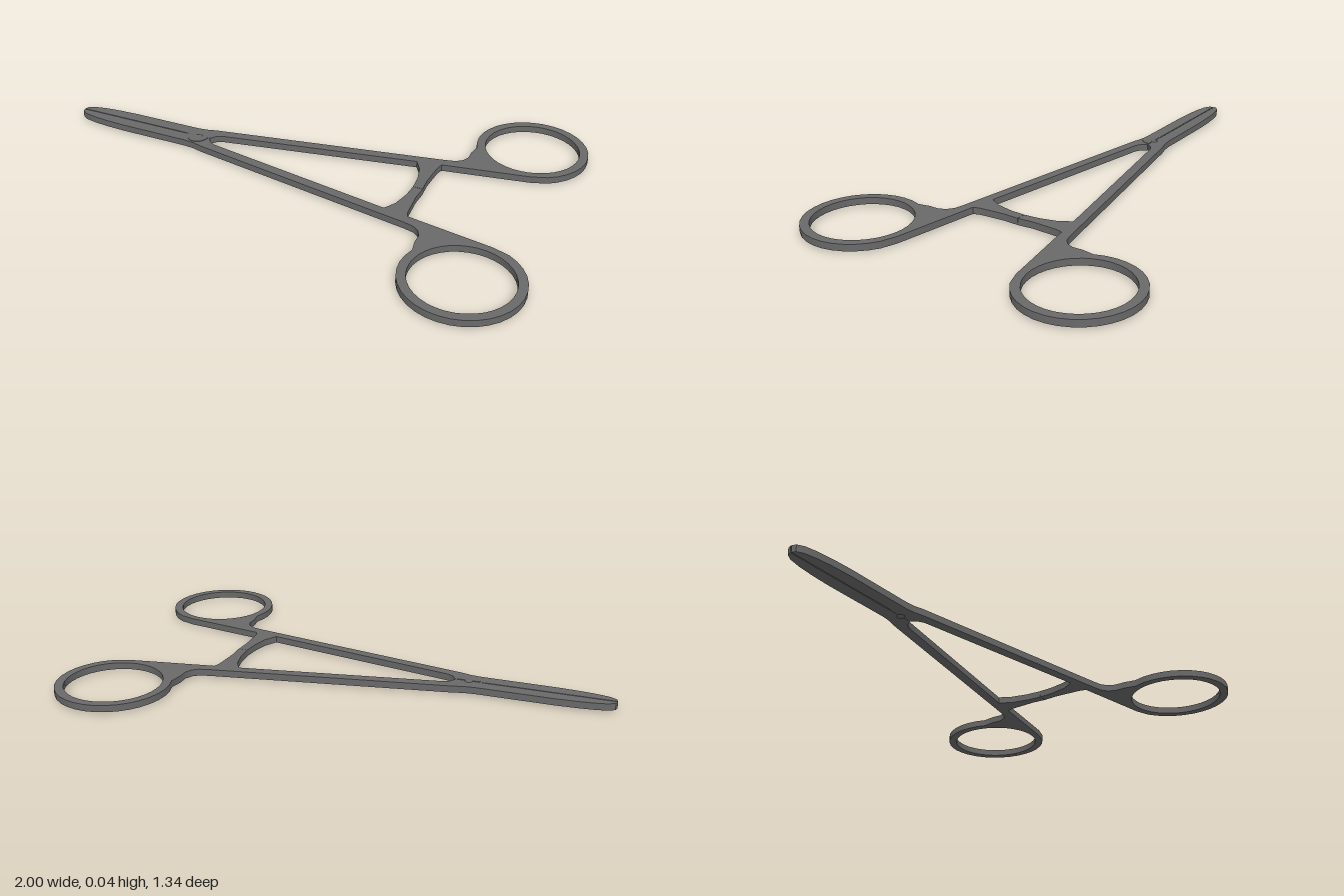
import * as THREE from 'three';
import { toCreasedNormals } from 'three/addons/utils/BufferGeometryUtils.js';

const BOTTOM = 0.007, THICK = 0.026;
const RING = { x: 0.783, z: 0.457, outer: 0.215, inner: 0.182 };
const PIVOT_X = -0.455;

// Points along a ring arc, angles in degrees
function arc(radius, from, to, steps) {
  return Array.from({ length: steps + 1 }, (_, i) => {
    const a = THREE.MathUtils.degToRad(from + (to - from) * i / steps);
    return [RING.x + radius * Math.cos(a), RING.z + radius * Math.sin(a)];
  });
}

// Jaw, shank, finger ring and half of the ratchet bridge as one outline
const outline = [
  // jaw
  [-1, 0.002], [-0.995, 0.018], [-0.97, 0.032], [-0.92, 0.042], [-0.86, 0.048], [-0.78, 0.052], [-0.49, 0.053],
  // outer side of the shank and neck
  [-0.45, 0.057], [-0.41, 0.068], [0.5, 0.233], [0.54, 0.243], [0.562, 0.26], [0.576, 0.288], [0.575, 0.33],
  // finger ring
  ...arc(RING.outer, 202, -60, 24),
  // inner side of the neck
  [0.83, 0.25], [0.5, 0.193],
  // ratchet bridge
  [0.492, 0.165], [0.486, 0.06], [0.49, 0.0005], [0.452, 0.0005], [0.448, 0.06], [0.432, 0.13], [0.405, 0.177],
  // inner side of the shank and crotch
  [-0.365, 0.036], [-0.388, 0.024], [-0.405, 0.0005], [-0.5, 0.0005], [-0.52, 0.002],
];
const ringHole = arc(RING.inner, 0, 350, 35);

// Extrude a plan outline upwards; side +1 lies towards the front
function plate(points, side, height, holes = []) {
  const toVectors = list => list.map(([x, z]) => new THREE.Vector2(x, -z * side));
  const shape = new THREE.Shape(toVectors(points));
  holes.forEach(h => shape.holes.push(new THREE.Path(toVectors(h))));
  const geometry = new THREE.ExtrudeGeometry(shape, { depth: height, bevelEnabled: false });
  geometry.rotateX(-Math.PI / 2);
  return toCreasedNormals(geometry, 0.5);
}

export function createModel() {
  const group = new THREE.Group();
  group.name = 'lockingForceps';
  const steel = new THREE.MeshStandardMaterial({ color: 0x696969 });
  steel.name = 'steel grey';

  function add(name, geometry, y = 0) {
    const mesh = new THREE.Mesh(geometry, steel);
    mesh.name = name;
    mesh.position.y = y;
    group.add(mesh);
    return mesh;
  }

  // Mirrored arms
  add('frontArm', plate(outline, 1, THICK, [ringHole]), BOTTOM);
  add('backArm', plate(outline, -1, THICK, [ringHole]), BOTTOM);

  // Half-round lap plate of the hinge
  const lap = Array.from({ length: 13 }, (_, i) => {
    const a = Math.PI * i / 12;
    return [PIVOT_X + 0.042 * Math.cos(a), 0.048 * Math.sin(a)];
  });
  add('hingePlate', plate(lap, 1, 0.002), BOTTOM + THICK);

  // Domed pivot pin through both arms
  const pin = [[0, 0], [0.009, 0.001], [0.015, 0.006], [0.016, 0.01], [0.016, 0.029], [0.015, 0.033], [0.009, 0.037], [0, 0.038]]
    .map(([r, y]) => new THREE.Vector2(r, y));
  add('pivotPin', new THREE.LatheGeometry(pin, 20)).position.x = PIVOT_X;

  return group;
}
